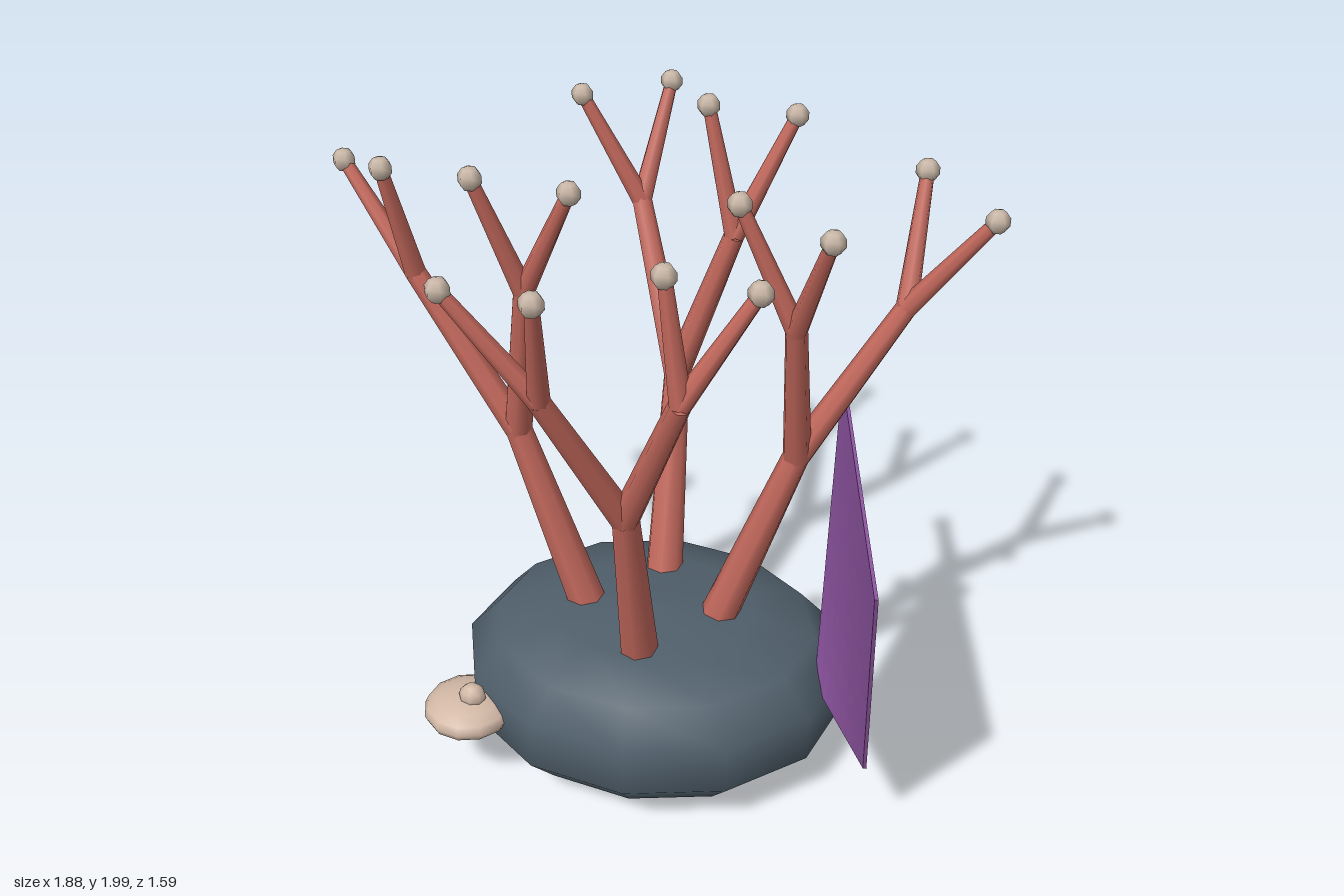
import * as THREE from 'three';

const V = (a) => new THREE.Vector3(...a);

function material(name, color, extra = {}) {
  const m = new THREE.MeshStandardMaterial({ color, ...extra });
  m.name = name;
  return m;
}

function addMesh(parent, name, geometry, mat) {
  const mesh = new THREE.Mesh(geometry, mat);
  mesh.name = name;
  parent.add(mesh);
  return mesh;
}

// Tapered limb between two points
function addLimb(parent, name, a, b, r0, r1, mat) {
  const from = V(a), dir = V(b).sub(from);
  const limb = addMesh(parent, name, new THREE.CylinderGeometry(r1, r0, dir.length(), 7), mat);
  limb.position.copy(from).addScaledVector(dir, 0.5);
  limb.quaternion.setFromUnitVectors(new THREE.Vector3(0, 1, 0), dir.normalize());
}

// Each coral: base, fork, then two branches that split into two tips
const CORALS = [
  { name: 'leftCoral', base: [0.195, 0.45, 0], fork: [0.42, 1.09, 0], branches: [
    { end: [0.69, 1.55, -0.08], tips: [[0.905, 1.85, -0.03], [0.71, 1.89, -0.235]] },
    { end: [0.415, 1.58, 0.16], tips: [[0.26, 1.945, 0.195], [0.51, 1.925, 0.33]] }] },
  { name: 'rightCoral', base: [-0.195, 0.45, 0], fork: [-0.4, 1.09, 0], branches: [
    { end: [-0.69, 1.55, -0.04], tips: [[-0.91, 1.83, -0.145], [-0.73, 1.905, 0.06]] },
    { end: [-0.335, 1.6, 0.11], tips: [[-0.44, 1.96, 0.2], [-0.18, 1.94, 0.2]] }] },
  { name: 'backCoral', base: [0, 0.45, -0.19], fork: [0, 1.09, -0.4], branches: [
    { end: [-0.15, 1.56, -0.62], tips: [[-0.325, 1.89, -0.605], [-0.085, 1.89, -0.765]] },
    { end: [0.17, 1.58, -0.38], tips: [[0.085, 1.965, -0.4], [0.33, 1.93, -0.46]] }] },
  { name: 'frontCoral', base: [0, 0.45, 0.205], fork: [0, 1.09, 0.4], branches: [
    { end: [-0.175, 1.56, 0.6], tips: [[-0.4, 1.87, 0.645], [-0.145, 1.905, 0.74]] },
    { end: [0.18, 1.58, 0.59], tips: [[0.14, 1.935, 0.6], [0.365, 1.89, 0.56]] }] },
];

export function createModel() {
  const model = new THREE.Group();
  model.name = 'coralRock';
  const stone = material('slate stone', 0x505f6b);
  const coral = material('coral red', 0xc4695d);
  const polyp = material('pale polyp', 0xc8b6a6);
  const purple = material('fan purple', 0x9056a4, { side: THREE.DoubleSide, flatShading: true });
  const cream = material('shell cream', 0xd2b8a6);

  // Rounded low-poly boulder
  const profile = [[0, 0.005], [0.52, 0.03], [0.83, 0.09], [1, 0.19], [1, 0.345],
    [0.84, 0.45], [0.52, 0.5], [0, 0.518]].map(([r, y]) => new THREE.Vector2(r, y));
  const rock = addMesh(model, 'rock', new THREE.LatheGeometry(profile, 12), stone);
  rock.scale.set(0.59, 1, 0.505);
  rock.position.set(0.01, 0, 0.015);

  // Branching corals with a small polyp on every tip
  const bead = new THREE.SphereGeometry(0.034, 6, 5);
  for (const c of CORALS) {
    const group = new THREE.Group();
    group.name = c.name;
    model.add(group);
    addLimb(group, 'trunk', c.base, c.fork, 0.06, 0.04, coral);
    for (const { end, tips } of c.branches) {
      addLimb(group, 'branch', c.fork, end, 0.042, 0.031, coral);
      for (const tip of tips) {
        addLimb(group, 'twig', end, tip, 0.031, 0.019, coral);
        addMesh(group, 'polyp', bead, polyp).position.copy(V(tip));
      }
    }
  }

  // Sea fan: thin plate, wide at the top, same sideways slant at every height
  const fanGeo = new THREE.BoxGeometry(0.01, 1, 1, 1, 8, 8);
  const p = fanGeo.attributes.position;
  for (let i = 0; i < p.count; i++) {
    const t = p.getY(i) + 0.5, s = p.getZ(i) * 2;
    p.setXYZ(i, 0.613 + s * 0.088 + p.getX(i), 0.345 + t * 0.867,
      0.277 + s * THREE.MathUtils.lerp(0.172, 0.518, t));
  }
  fanGeo.computeVertexNormals();
  addMesh(model, 'seaFan', fanGeo, purple);

  // Shell resting against the rock
  const shell = new THREE.Group();
  shell.name = 'shell';
  model.add(shell);
  const body = addMesh(shell, 'shellBody', new THREE.SphereGeometry(1, 12, 8), cream);
  body.scale.set(0.138, 0.062, 0.138);
  body.position.set(-0.51, 0.265, 0.313);
  const knob = addMesh(shell, 'shellKnob', new THREE.SphereGeometry(1, 8, 6), cream);
  knob.scale.set(0.042, 0.04, 0.036);
  knob.position.set(-0.49, 0.332, 0.333);

  return model;
}
